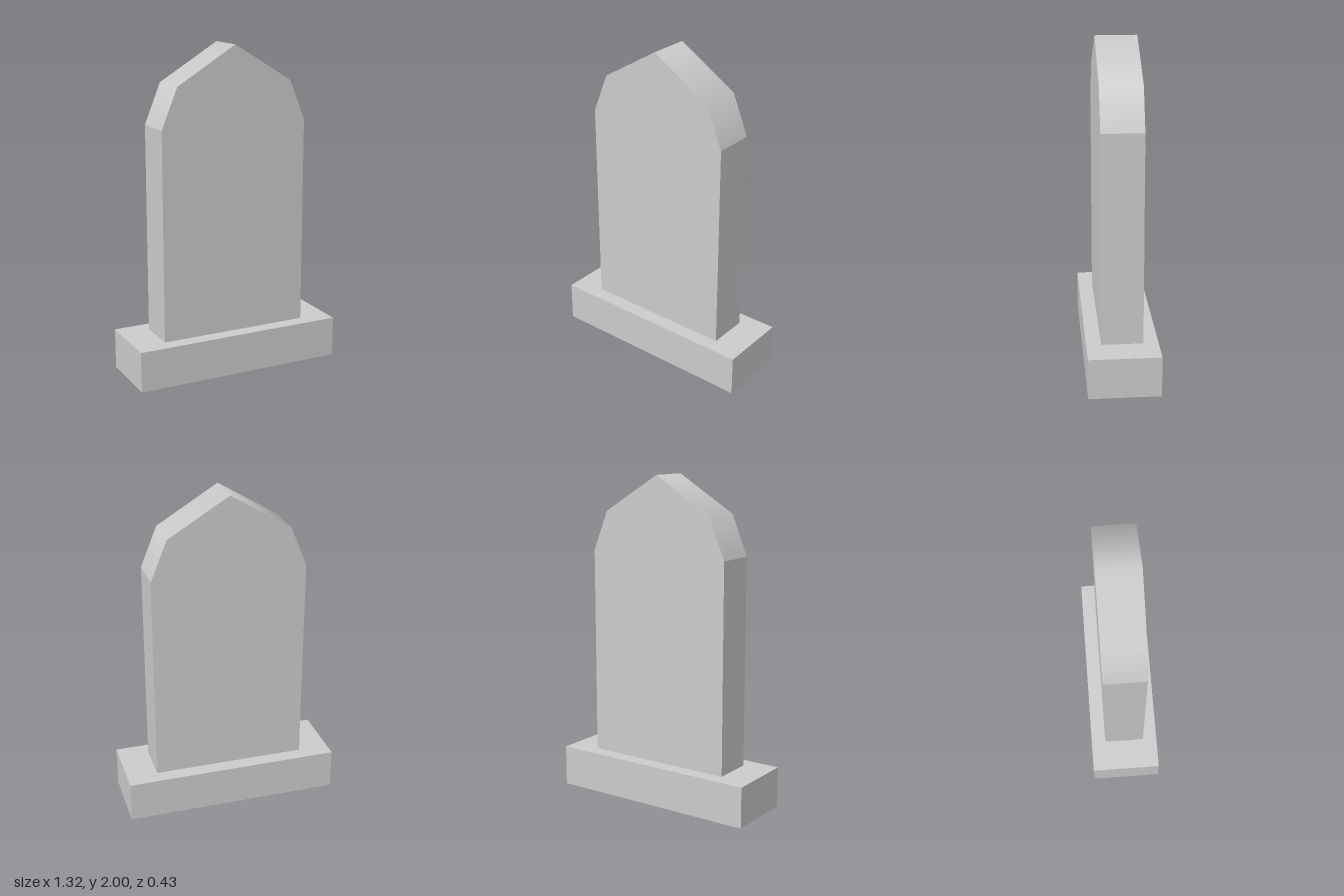
import * as THREE from 'three';

export function createModel() {
  const group = new THREE.Group();
  const material = new THREE.MeshStandardMaterial({ color: 0xcccccc });

  // Plinth
  const baseHeight = 0.25;
  const base = new THREE.Mesh(new THREE.BoxGeometry(1.32, baseHeight, 0.43), material);
  base.name = 'base';
  base.position.y = baseHeight / 2;
  group.add(base);

  // Upright slab: straight sides and a faceted crown, counter-clockwise outline
  const depth = 0.25;
  const crown = [[0.47, 1.53], [0.37, 1.775], [0, 2], [-0.37, 1.775], [-0.47, 1.53]];
  const outline = [[-0.47, baseHeight], [0.47, baseHeight], ...crown];
  const shape = new THREE.Shape(outline.map(([x, y]) => new THREE.Vector2(x, y)));
  const geometry = new THREE.ExtrudeGeometry(shape, { depth, bevelEnabled: false });
  geometry.translate(0, 0, -depth / 2);

  // Smooth the shading over the crown; sides and faces stay flat
  const faceNormals = crown.slice(1).map(([x, y], i) =>
    new THREE.Vector2(y - crown[i][1], crown[i][0] - x).normalize());
  const crownNormals = crown.map((_, i) => {
    const before = faceNormals[Math.max(i - 1, 0)];
    const after = faceNormals[Math.min(i, faceNormals.length - 1)];
    return before.clone().add(after).normalize();
  });
  const { position, normal } = geometry.attributes;
  for (let i = 0; i < position.count; i++) {
    if (normal.getY(i) < 0.1) continue;
    const k = crown.findIndex(([x, y]) =>
      Math.hypot(x - position.getX(i), y - position.getY(i)) < 1e-4);
    if (k >= 0) normal.setXYZ(i, crownNormals[k].x, crownNormals[k].y, 0);
  }

  const slab = new THREE.Mesh(geometry, material);
  slab.name = 'slab';
  group.add(slab);

  return group;
}
